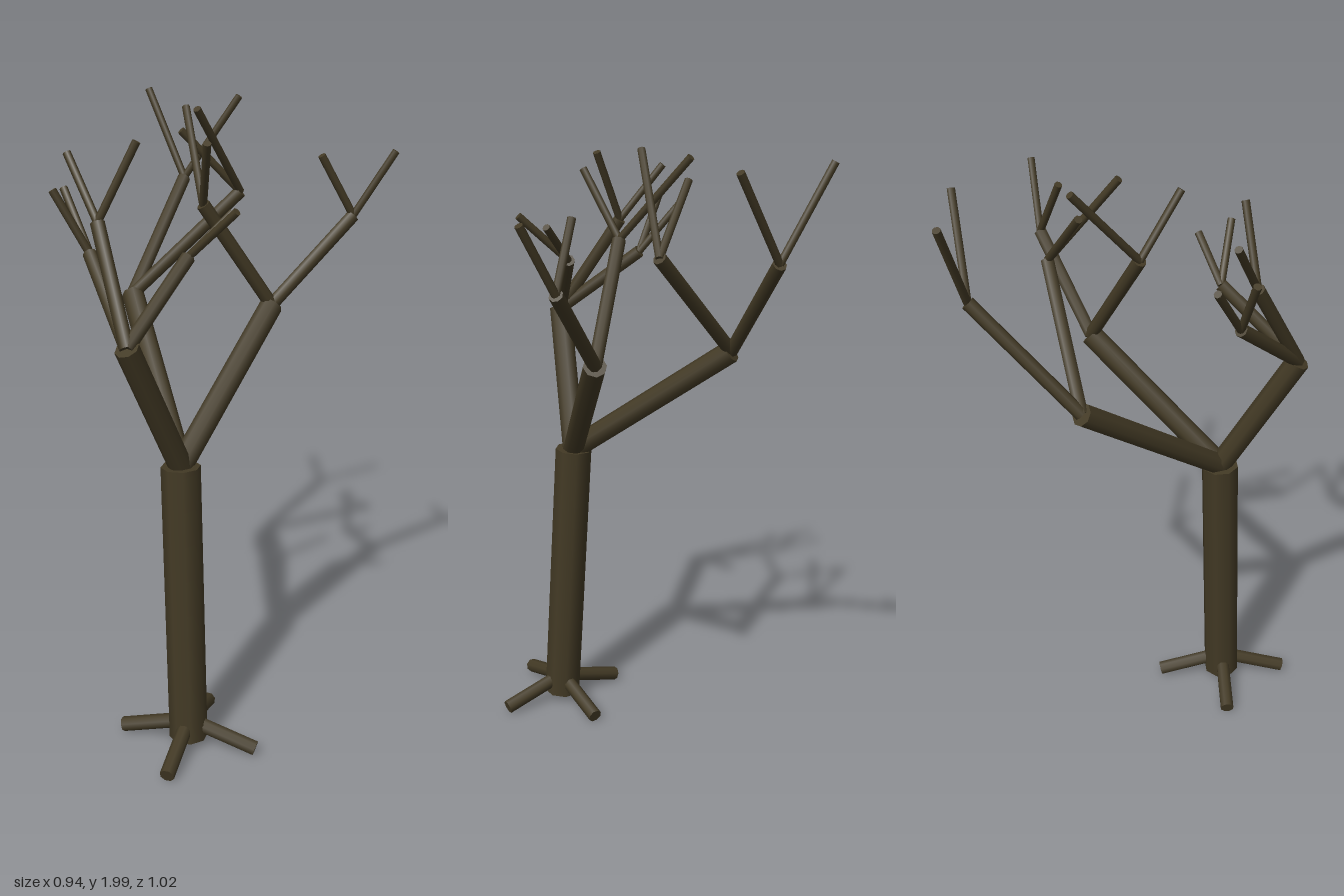
import * as THREE from 'three';

export function createModel() {
  const tree = new THREE.Group();
  tree.name = 'bareTree';
  const bark = new THREE.MeshStandardMaterial({ color: 0x433a25 });
  bark.name = 'darkBark';

  // A straight eight-sided limb between two points
  const limb = (name, from, to, radius) => {
    const a = new THREE.Vector3(...from), b = new THREE.Vector3(...to);
    const dir = b.clone().sub(a);
    const mesh = new THREE.Mesh(new THREE.CylinderGeometry(radius, radius, dir.length(), 8), bark);
    mesh.position.copy(a).add(b).multiplyScalar(0.5);
    mesh.quaternion.setFromUnitVectors(new THREE.Vector3(0, 1, 0), dir.normalize());
    mesh.name = name;
    tree.add(mesh);
  };

  const names = ['bough', 'branch', 'twig'];
  const radii = [0.037, 0.0215, 0.0125];
  // Each node is its end point followed by the limbs growing from it
  const grow = (from, nodes, level) => nodes.forEach(([end, ...children]) => {
    limb(names[level], from, end, radii[level]);
    grow(end, children, level + 1);
  });

  // Trunk
  const base = [0.243, 0.04, 0.268], crown = [0.19, 0.97, 0.243];
  limb('trunk', base, crown, 0.062);

  // Four roots, a quarter turn apart
  for (let i = 0; i < 4; i++) {
    const t = 0.36 + i * Math.PI / 2;
    limb('root', [base[0], 0.1, base[2]],
      [base[0] + 0.225 * Math.cos(t), 0.035, base[2] - 0.225 * Math.sin(t)], 0.024);
  }

  // Crown: boughs, branches and twigs
  grow(crown, [
    [[-0.265, 1.365, -0.075],
      [[-0.305, 1.7, -0.4], [[-0.46, 1.985, -0.4]], [[-0.15, 1.975, -0.5]]],
      [[0.02, 1.71, -0.28], [[0.02, 1.995, -0.05]], [[-0.105, 1.91, -0.13]]]],
    [[0.185, 1.405, 0.48],
      [[0.2, 1.62, 0.22], [[0.285, 1.745, 0.12]], [[0.36, 1.77, 0.205]]],
      [[-0.065, 1.615, 0.35], [[-0.2, 1.785, 0.31]], [[-0.15, 1.8, 0.41]]],
      [[-0.005, 1.72, 0.38], [[0.085, 1.95, 0.31]], [[-0.145, 1.9, 0.35]]]],
    [[0.2, 1.38, -0.21],
      [[0.35, 1.65, -0.435], [[0.455, 1.855, -0.5]], [[0.285, 1.845, -0.34]]],
      [[0.08, 1.72, -0.005], [[0.17, 1.925, 0.095]], [[-0.105, 1.98, -0.155]]]],
  ], 0);

  return tree;
}
